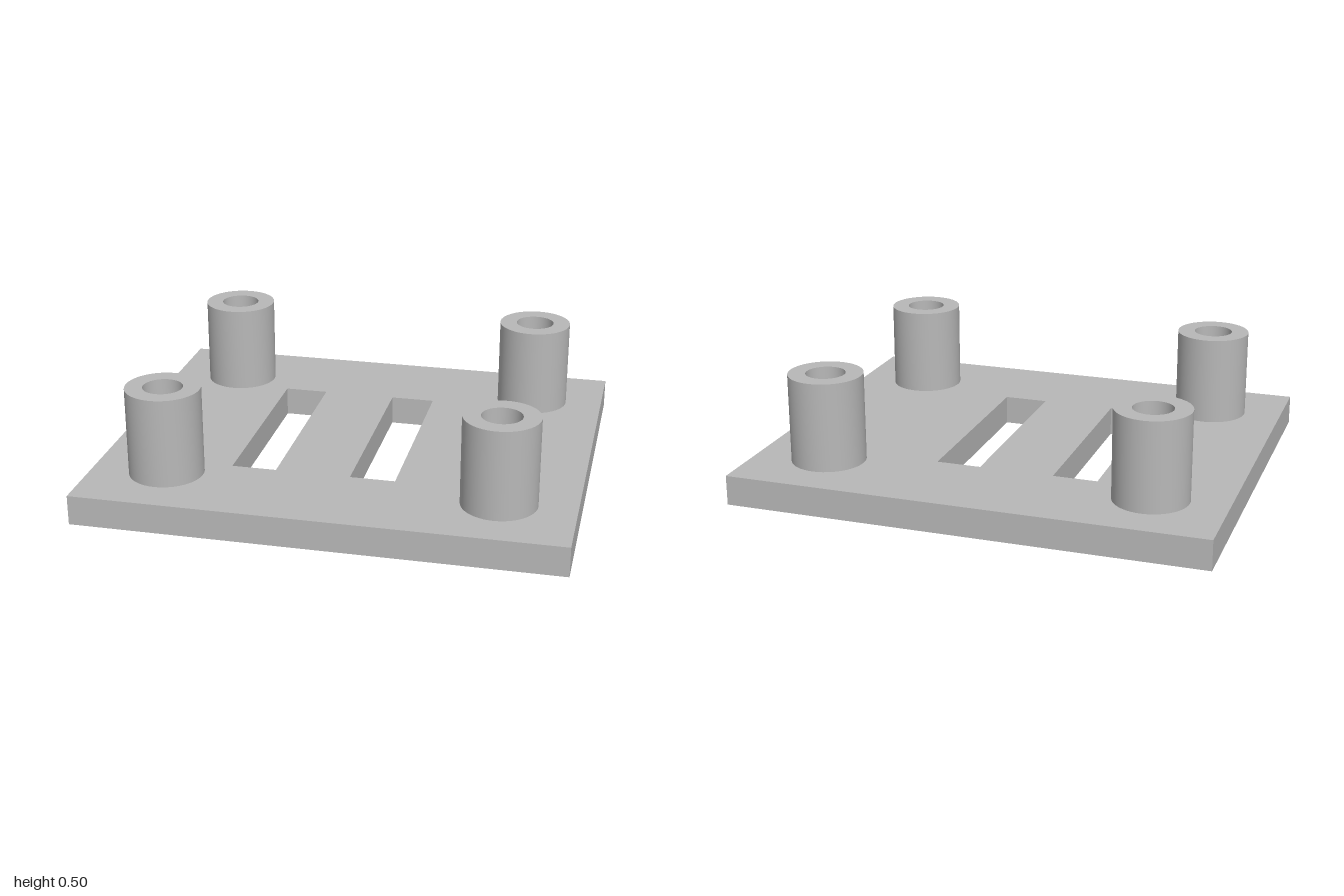
import * as THREE from 'three';
import { toCreasedNormals } from 'three/addons/utils/BufferGeometryUtils.js';

const HALF_W = 1, HALF_D = 0.857, PLATE_H = 0.125, TOP = 0.5;
const POST_X = 0.6875, POST_Z = 0.547, POST_R = 0.155, BORE_R = 0.082;
const SIDES = 48;

const grey = new THREE.MeshStandardMaterial({ color: 0xb8b8b8 });
grey.name = 'grey';

// Traces a rectangle on a Shape or Path
function rect(path, x0, y0, x1, y1) {
  path.moveTo(x0, y0);
  path.lineTo(x1, y0);
  path.lineTo(x1, y1);
  path.lineTo(x0, y1);
  path.closePath();
  return path;
}

export function createModel() {
  const model = new THREE.Group();
  model.name = 'mountingPlate';
  const corners = [[-1, -1], [1, -1], [1, 1], [-1, 1]].map(([x, z]) => [x * POST_X, z * POST_Z]);

  // Base plate with two slots and four through holes
  const outline = rect(new THREE.Shape(), -HALF_W, -HALF_D, HALF_W, HALF_D);
  for (const [x0, x1] of [[-0.44, -0.253], [0.06, 0.248]]) {
    outline.holes.push(rect(new THREE.Path(), x0, -0.438, x1, 0.438));
  }
  for (const [x, z] of corners) {
    outline.holes.push(new THREE.Path().absarc(x, -z, BORE_R, 0, Math.PI * 2, true));
  }
  const plateGeo = new THREE.ExtrudeGeometry(outline, {
    depth: PLATE_H, bevelEnabled: false, curveSegments: SIDES / 2,
  }).rotateX(-Math.PI / 2);
  const plate = new THREE.Mesh(toCreasedNormals(plateGeo, 0.6), grey);
  plate.name = 'basePlate';
  model.add(plate);

  // Hollow standoffs: outer wall, rim and bore
  const profile = [[POST_R, PLATE_H], [POST_R, TOP], [BORE_R, TOP], [BORE_R, PLATE_H]]
    .map(([r, y]) => new THREE.Vector2(r, y));
  const postGeo = toCreasedNormals(new THREE.LatheGeometry(profile, SIDES), 0.6);
  const posts = new THREE.Group();
  posts.name = 'standoffs';
  corners.forEach(([x, z]) => {
    const post = new THREE.Mesh(postGeo, grey);
    post.name = (z > 0 ? 'front' : 'back') + (x > 0 ? 'Left' : 'Right') + 'Standoff';
    post.position.set(x, 0, z);
    posts.add(post);
  });
  model.add(posts);

  return model;
}
